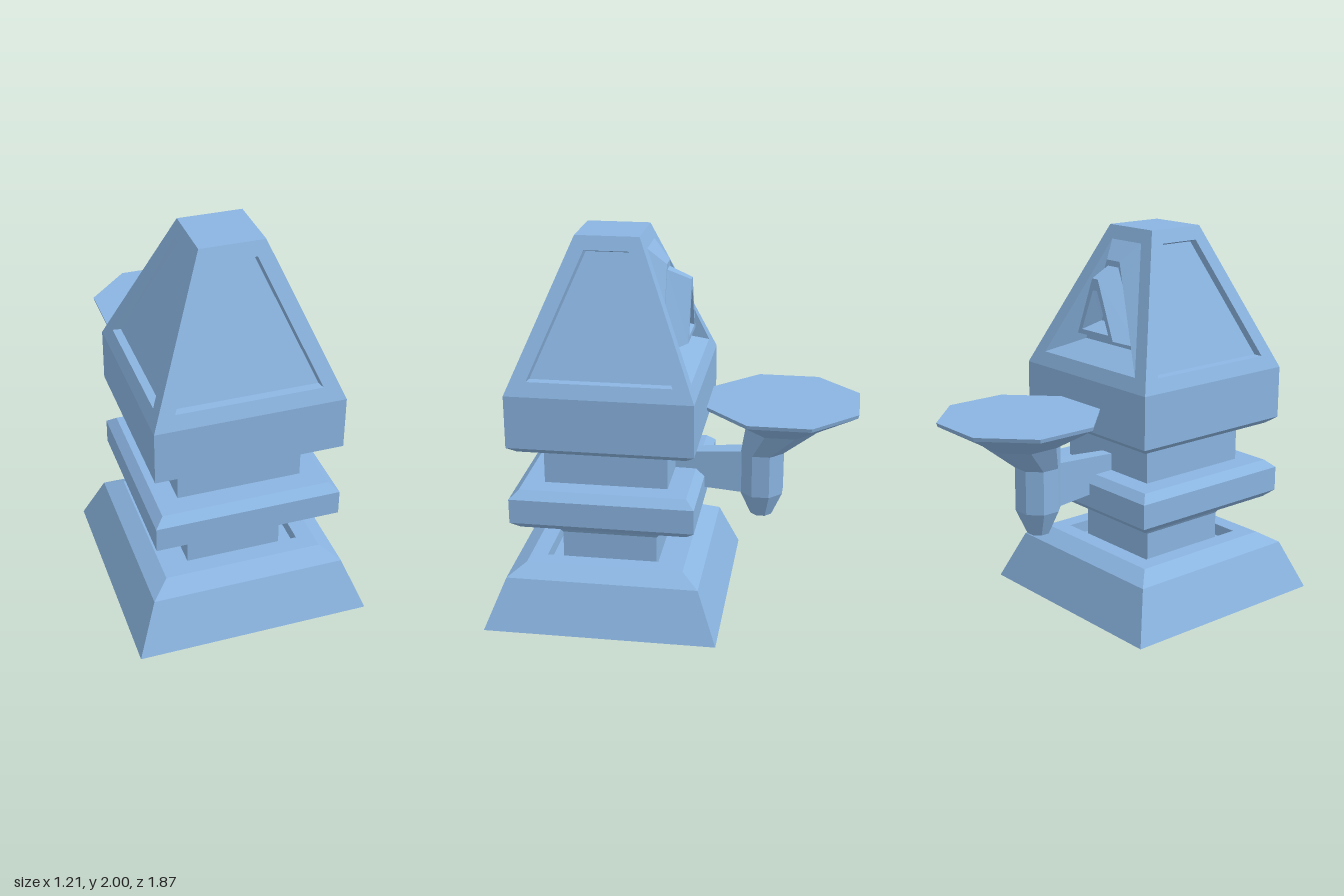
import * as THREE from 'three';

const CZ = 0.33; // z of the tower's axis
const material = new THREE.MeshStandardMaterial({ color: 0x8ab4e0, flatShading: true });

// Skin a series of equal-length loops (counter-clockwise seen from the end), with optional caps.
function loft(name, loops, capStart = true, capEnd = true) {
  const pos = [];
  const tri = (a, b, c) => pos.push(...a, ...b, ...c);
  const n = loops[0].length;
  for (let k = 0; k + 1 < loops.length; k++) {
    const A = loops[k], B = loops[k + 1];
    for (let i = 0; i < n; i++) {
      const j = (i + 1) % n;
      tri(A[i], A[j], B[j]);
      tri(A[i], B[j], B[i]);
    }
  }
  const first = loops[0], last = loops[loops.length - 1];
  for (let i = 1; i + 1 < n; i++) {
    if (capStart) tri(first[0], first[i + 1], first[i]);
    if (capEnd) tri(last[0], last[i], last[i + 1]);
  }
  const geometry = new THREE.BufferGeometry();
  geometry.setAttribute('position', new THREE.Float32BufferAttribute(pos, 3));
  geometry.computeVertexNormals();
  const mesh = new THREE.Mesh(geometry, material);
  mesh.name = name;
  return mesh;
}

// Horizontal square and octagon loops
const square = ([h, y]) => [[-h, y, h], [h, y, h], [h, y, -h], [-h, y, -h]];
const octagon = ([apothem, y, cz]) => Array.from({ length: 8 }, (_, i) => {
  const a = (i + 0.5) * Math.PI / 4, r = apothem / Math.cos(Math.PI / 8);
  return [r * Math.sin(a), y, cz + r * Math.cos(a)];
});

// Upright trapezoid loop: bottom half width, y, z, then the same for the top
const trapezoid = (bw, by, bz, tw, ty, tz) =>
  [[-bw, by, bz], [bw, by, bz], [tw, ty, tz], [-tw, ty, tz]];

// Distance of the sloping roof face from the axis at height y
const roof = (y) => 0.475 - 0.312 * (y - 1.255) / 0.745;

export function createModel() {
  const model = new THREE.Group();
  model.name = 'pillarFountain';
  const tower = new THREE.Group();
  tower.name = 'tower';
  tower.position.z = CZ;
  model.add(tower);

  // Stepped square body, with a well sunk in the top of the base
  tower.add(loft('body', [
    [0.605, 0], [0.5, 0.26], [0.41, 0.315], [0.32, 0.315], [0.32, 0.25], [0.25, 0.25],
    [0.25, 0.42], [0.32, 0.525], [0.43, 0.525], [0.475, 0.565], [0.475, 0.695], [0.43, 0.735],
    [0.32, 0.735], [0.32, 0.945], [0.43, 0.945], [0.475, 0.98], [0.475, 1.255],
  ].map(square), true, false));

  // Four roof faces: sunken panels on three, a stepped hood on the back
  const frame = [
    trapezoid(0.475, 1.255, 0.475, 0.163, 2, 0.163),
    trapezoid(0.365, 1.325, roof(1.325), 0.113, 1.932, roof(1.932)),
  ];
  const panel = [trapezoid(0.355, 1.328, roof(1.328) - 0.04, 0.108, 1.92, roof(1.92) - 0.04)];
  const hood = [
    trapezoid(0.22, 1.4, 0.28, 0.05, 1.84, 0.28),
    trapezoid(0.2, 1.42, 0.28, 0.04, 1.81, 0.28),
    trapezoid(0.14, 1.46, 0.4, 0.022, 1.76, 0.4),
    trapezoid(0.105, 1.485, 0.4, 0.016, 1.7, 0.4),
    trapezoid(0.08, 1.52, 0.29, 0.013, 1.68, 0.29),
  ];
  ['roofFront', 'roofLeft', 'roofBack', 'roofRight'].forEach((name, i) => {
    const face = loft(name, [...frame, ...(i === 2 ? hood : panel)], false, true);
    face.rotation.y = i * Math.PI / 2;
    tower.add(face);
  });
  tower.add(loft('roofCap', [square([0.163, 1.99]), square([0.163, 2])]));

  // Octagonal basin on its stem, held behind the tower
  const basin = new THREE.Group();
  basin.name = 'basin';
  basin.add(loft('bowl', [
    [0.11, 0.85, -0.447], [0.185, 0.99, -0.545], [0.38, 1.11, -0.552], [0.385, 1.13, -0.553],
  ].map(octagon)));
  basin.add(loft('stem', [
    [0.055, 0.49, -0.447], [0.11, 0.62, -0.447], [0.11, 0.85, -0.447], [0.09, 0.99, -0.455],
  ].map(octagon)));
  basin.add(loft('arm', [
    trapezoid(0.05, 0.62, -0.4, 0.05, 0.85, -0.4),
    trapezoid(0.05, 0.62, -0.335, 0.05, 0.85, -0.335),
    trapezoid(0.035, 0.645, 0.03, 0.035, 0.825, 0.03),
  ]));
  model.add(basin);
  return model;
}
